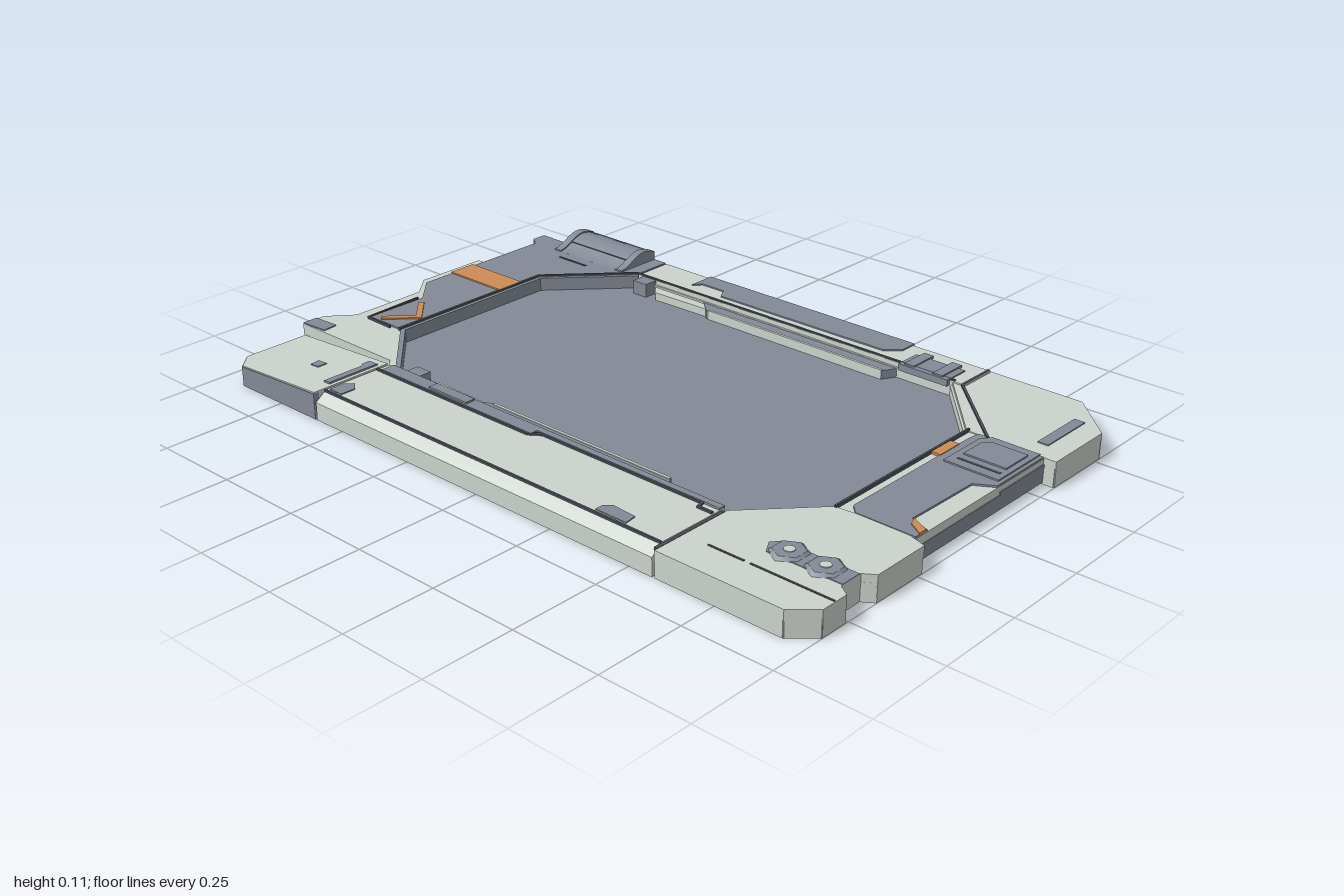
import * as THREE from 'three';

const material = (name, color) => {
  const m = new THREE.MeshStandardMaterial({ color });
  m.name = name;
  return m;
};

export function createModel() {
  const model = new THREE.Group();
  model.name = 'hatchFrame';
  const light = material('paleGrey', 0xcbd2cb);
  const dark = material('slateGrey', 0x838a96);
  const orange = material('orange', 0xcb8c54);
  const black = material('seamGrey', 0x4a4f58);

  const add = (name, geometry, mat) => {
    const mesh = new THREE.Mesh(geometry, mat);
    mesh.name = name;
    model.add(mesh);
    return mesh;
  };
  const flip = (pts) => pts.map(([x, z]) => new THREE.Vector2(x, -z));
  // Plan outline in x, z raised from y0 to y1
  const slab = (name, mat, pts, y0, y1, hole) => {
    const shape = new THREE.Shape(flip(pts));
    if (hole) shape.holes.push(new THREE.Path(flip(hole).reverse()));
    const g = new THREE.ExtrudeGeometry(shape, { depth: y1 - y0, bevelEnabled: false });
    g.rotateX(-Math.PI / 2).translate(0, y0, 0);
    return add(name, g, mat);
  };
  const box = (name, mat, x0, x1, y0, y1, z0, z1) =>
    add(name, new THREE.BoxGeometry(x1 - x0, y1 - y0, z1 - z0)
      .translate((x0 + x1) / 2, (y0 + y1) / 2, (z0 + z1) / 2), mat);
  // Thin wall or strip following a plan path
  const strip = (name, mat, pts, y0, y1, width) => {
    for (let i = 0; i < pts.length - 1; i++) {
      const [ax, az] = pts[i], [bx, bz] = pts[i + 1];
      const g = new THREE.BoxGeometry(Math.hypot(bx - ax, bz - az) + width * 0.6, y1 - y0, width);
      g.rotateY(-Math.atan2(bz - az, bx - ax));
      add(name, g.translate((ax + bx) / 2, (y0 + y1) / 2, (az + bz) / 2), mat);
    }
  };
  // Cross-section in z, y swept along x
  const sweepX = (name, mat, pts, x0, x1) => {
    const shape = new THREE.Shape(pts.map(([z, y]) => new THREE.Vector2(-z, y)));
    const g = new THREE.ExtrudeGeometry(shape, { depth: x1 - x0, bevelEnabled: false });
    return add(name, g.rotateY(Math.PI / 2).translate(x0, 0, 0), mat);
  };
  const TOP = 0.075, CORNER = 0.071;

  // Recessed octagonal panel and its rim
  const octagon = (d) => [
    [-0.76 - d, -0.31 - d / 2], [-0.56 - d / 2, -0.52 - d], [0.56 + d / 2, -0.52 - d], [0.745 + d, -0.31 - d / 2],
    [0.745 + d, 0.22 + d / 2], [0.57 + d / 2, 0.4 + d], [-0.57 - d / 2, 0.4 + d], [-0.76 - d, 0.22 + d / 2]];
  slab('centrePanel', dark, octagon(0), 0.008, 0.035);
  slab('panelRim', light, octagon(0.03), 0.002, 0.05, octagon(0));
  slab('panelInnerLip', light, octagon(0.001), 0.034, 0.062, octagon(-0.006));
  const o = octagon(0.004), inner = octagon(-0.004);
  strip('leftInnerWall', dark, [inner[6], inner[7], inner[0], inner[1]], 0.036, 0.074, 0.014);
  strip('leftSeam', black, [o[7], o[0], o[1]], 0.06, 0.079, 0.008);
  strip('backSeam', black, [o[1], o[2]], 0.06, 0.079, 0.007);
  strip('sideSeam', black, [o[3], o[4]], 0.06, 0.077, 0.006);

  // Mirrored trim strips along the panel's long edges
  for (const s of [-1, 1]) {
    const z = (d) => -0.06 + s * (0.46 - d);
    const order = (p) => (s < 0 ? p : p.slice().reverse());
    slab('edgeTrim', dark, order([[-0.3, z(0)], [0.39, z(0)], [0.365, z(0.045)], [-0.25, z(0.045)]]), 0.034, 0.06);
    slab('edgeTrimPale', light, order([[-0.48, z(0.008)], [-0.29, z(0.008)], [-0.26, z(0.035)], [-0.45, z(0.04)]]), 0.034, 0.058);
    box('trimLine', light, -0.24, 0.365, 0.034, 0.062, z(0.042) - 0.004, z(0.042) + 0.004);
    const zc = z(0.022);
    box('trimClip', dark, -0.535, -0.485, 0.034, 0.075, zc - 0.022, zc + 0.022);
  }

  // Back rail, hollow below, with worn patch on top and rear
  box('backRail', light, -0.553, 0.597, 0.042, TOP, -0.64, -0.52);
  box('backRailWall', light, -0.553, 0.597, 0, 0.045, -0.64, -0.627);
  slab('backRailPatch', dark, [[-0.38, -0.645], [0.35, -0.645], [0.35, -0.59], [0.31, -0.555], [-0.26, -0.55],
    [-0.28, -0.585], [-0.36, -0.585], [-0.38, -0.56]], TOP, 0.079);
  box('backRailRearPatch', dark, -0.38, 0.35, 0.002, 0.079, -0.645, -0.64);
  box('backLatch', dark, 0.395, 0.55, 0.06, 0.079, -0.59, -0.508);
  for (const x of [0.41, 0.5]) box('latchLug', dark, x, x + 0.03, 0.07, 0.083, -0.605, -0.515);

  // Hollow back corner on the left side
  const corner = [[0.59, -0.645], [0.87, -0.645], [1, -0.52], [1, -0.31], [0.745, -0.31], [0.56, -0.52], [0.59, -0.52]];
  slab('backCornerTop', light, corner, 0.05, CORNER);
  strip('backCornerWall', light, [[0.597, -0.638], [0.866, -0.638], [0.993, -0.517], [0.993, -0.317], [0.8, -0.317]], 0, 0.06, 0.013);
  strip('backCornerSeam', black, [[0.59, -0.64], [0.59, -0.52], [0.81, -0.305]], 0.066, 0.0765, 0.007);
  box('cornerWear', dark, 0.91, 0.94, CORNER, 0.074, -0.54, -0.37);

  // Left side block
  box('sideBase', dark, 0.78, 0.968, 0.005, 0.045, -0.31, 0.22);
  box('sideUpper', light, 0.745, 0.966, 0.035, 0.068, -0.31, 0.22);
  box('sideUpperShade', dark, 0.9, 0.969, 0.044, 0.054, -0.31, -0.12);
  slab('sideCover', dark, [[0.78, -0.31], [0.965, -0.31], [0.965, -0.11], [0.915, -0.08], [0.91, 0.15], [0.965, 0.17],
    [0.965, 0.215], [0.8, 0.215], [0.775, 0.19], [0.775, -0.27]], 0.066, 0.073);
  slab('sideHandle', dark, [[0.82, -0.31], [0.955, -0.31], [0.955, -0.13], [0.8, -0.13], [0.8, -0.28]], 0.06, 0.077);
  slab('sideHandlePad', dark, [[0.837, -0.28], [0.94, -0.28], [0.94, -0.185], [0.82, -0.185], [0.82, -0.26]], 0.07, 0.081);
  box('sideHandleLine', black, 0.82, 0.94, 0.07, 0.078, -0.165, -0.157);
  box('sideStripe', orange, 0.747, 0.778, 0.067, 0.075, -0.23, -0.15);
  slab('sideChip', orange, [[0.915, 0.15], [0.965, 0.175], [0.965, 0.2], [0.925, 0.175]], 0.069, 0.076);

  // Front corner on the left side, hollow below, with hexagonal bolts
  slab('frontCornerTop', light, [[0.745, 0.22], [0.8, 0.215], [0.95, 0.215], [1, 0.23], [1, 0.4], [0.97, 0.42], [0.97, 0.49], [1, 0.51],
    [1, 0.59], [0.94, 0.645], [0.577, 0.645], [0.577, 0.4]], 0.04, CORNER);
  strip('frontCornerWall', light, [[0.8, 0.222], [0.95, 0.222], [0.993, 0.236], [0.993, 0.397], [0.963, 0.417], [0.963, 0.493], [0.993, 0.513],
    [0.993, 0.587], [0.937, 0.638], [0.582, 0.638]], 0, 0.05, 0.013);
  box('underSlot', dark, 0.74, 0.95, 0.03, 0.042, 0.43, 0.485);
  slab('boltPlate', dark, [[0.74, 0.45], [0.76, 0.425], [0.97, 0.425], [0.97, 0.485], [0.76, 0.485]], CORNER, 0.073);
  for (const x of [0.8, 0.9]) {
    add('hexBolt', new THREE.CylinderGeometry(0.04, 0.05, 0.008, 6).toNonIndexed().translate(x, 0.075, 0.453), dark);
    add('boltCentre', new THREE.CylinderGeometry(0.014, 0.014, 0.004, 12).translate(x, 0.079, 0.453), light);
  }
  strip('frontCornerSeam', black, [[0.65, 0.548], [0.75, 0.548]], 0.07, 0.073, 0.005);
  strip('frontCornerSeam', black, [[0.77, 0.548], [0.996, 0.548]], 0.07, 0.073, 0.005);

  // Front rail with a bevelled outer edge and hollow underside
  sweepX('frontRail', light, [[0.4, 0.002], [0.43, 0.002], [0.43, 0.042], [0.632, 0.042], [0.632, 0], [0.645, 0],
    [0.645, 0.05], [0.62, 0.068], [0.61, TOP], [0.4, TOP]], -0.6, 0.57);
  box('frontRailInset', dark, -0.58, -0.02, TOP, 0.081, 0.4, 0.44);
  box('frontRailInset', dark, -0.02, 0.57, TOP, 0.081, 0.4, 0.418);
  box('frontRailClip', dark, -0.4, -0.26, TOP, 0.086, 0.405, 0.435);
  strip('frontRailSeam', black, [[-0.595, 0.442], [-0.03, 0.442], [0, 0.42], [0.52, 0.42], [0.525, 0.44], [0.565, 0.44]], TOP, 0.08, 0.007);
  strip('frontRailEdgeSeam', black, [[-0.597, 0.613], [0.567, 0.613]], 0.071, 0.077, 0.006);
  box('railEndGap', black, 0.568, 0.578, 0.045, 0.072, 0.41, 0.635);
  slab('frontRailWear', dark, [[-0.59, 0.56], [-0.57, 0.54], [-0.545, 0.56], [-0.545, 0.605], [-0.59, 0.605]], TOP, 0.078);
  slab('frontRailWear', dark, [[0.36, 0.58], [0.38, 0.565], [0.45, 0.57], [0.455, 0.605], [0.36, 0.605]], TOP, 0.078);

  // Front corner on the right side, sloping down outwards, dark along its front
  const tail = [[-0.957, 0.4], [-0.605, 0.4], [-0.605, 0.645], [-0.91, 0.645], [-0.957, 0.595]];
  for (const mesh of [
    slab('slopedCornerBody', light, tail, 0, 0.077),
    slab('slopedCornerFront', dark, [[-0.605, 0.63], [-0.605, 0.647], [-0.911, 0.647], [-0.959, 0.596], [-0.955, 0.585], [-0.9, 0.63]], 0.001, 0.073),
    slab('slopedCornerChip', dark, [[-0.77, 0.5], [-0.735, 0.5], [-0.735, 0.53], [-0.765, 0.53]], 0.077, 0.08),
    slab('slopedCornerBlock', dark, [[-0.65, 0.425], [-0.617, 0.425], [-0.617, 0.585], [-0.64, 0.585], [-0.64, 0.46], [-0.65, 0.45]], 0.077, 0.082)]) {
    const p = mesh.geometry.attributes.position;
    for (let i = 0; i < p.count; i++) p.setY(i, p.getY(i) * (1 + 0.75 * (p.getX(i) + 0.605)));
    mesh.geometry.computeVertexNormals();
  }

  // Right side: thin dark deck, pale border and rear wall
  slab('rightDeck', dark, [[-0.912, -0.645], [-0.56, -0.645], [-0.56, -0.52], [-0.76, -0.31], [-0.76, 0.22], [-0.89, 0.22],
    [-0.89, 0.03], [-0.97, -0.055], [-0.97, -0.5], [-1, -0.52], [-1, -0.565], [-0.912, -0.565]], 0.042, TOP);
  slab('rightBorder', light, [[-0.97, -0.055], [-0.89, 0.03], [-0.89, 0.22], [-0.76, 0.22], [-0.575, 0.4], [-0.6, 0.4], [-0.63, 0.372],
    [-1, 0.372], [-1, 0.3], [-0.94, 0.23], [-0.94, 0], [-1, -0.07], [-1, -0.29], [-0.97, -0.29]], 0.038, 0.07);
  strip('rightWall', dark, [[-0.565, -0.64], [-0.905, -0.64], [-0.905, -0.5]], 0, 0.06, 0.01);
  slab('rightBorderWear', dark, [[-1, 0.325], [-0.92, 0.32], [-0.915, 0.365], [-1, 0.372]], 0.07, 0.073);
  strip('rightBorderSeam', black, [[-0.9, 0.04], [-0.893, 0.225], [-0.8, 0.228]], 0.07, 0.077, 0.006);
  box('rightTrayLine', black, -0.83, -0.72, TOP, 0.077, -0.468, -0.462);
  strip('rightTrayLine', black, [[-0.73, -0.35], [-0.65, -0.43]], TOP, 0.077, 0.006);

  // Orange markings, also seen through the open underside
  box('orangeStripe', orange, -0.972, -0.767, TOP, 0.079, -0.24, -0.155);
  box('orangeStripeUnder', orange, -0.968, -0.79, 0.038, 0.042, -0.24, -0.155);
  strip('orangeChevron', orange, [[-0.855, 0.065], [-0.785, 0.135], [-0.855, 0.205]], TOP, 0.079, 0.017);

  // Smooth hinge hump between two collars
  const hump = (d) => {
    const pts = [[-0.645, 0.04]];
    for (let i = 0; i <= 14; i++) {
      const z = -0.645 + 0.145 * i / 14;
      const spread = z < -0.597 ? 0.12 : 0.1;
      pts.push([z, TOP + d + 0.033 * Math.cos(Math.min(1, Math.abs(z + 0.597) / spread) * Math.PI / 2) ** 2]);
    }
    return pts.concat([[-0.5, 0.04]]);
  };
  sweepX('hingeCover', dark, hump(0), -0.87, -0.62);
  for (const x of [-0.885, -0.63]) sweepX('hingeCollar', dark, hump(0.004), x, x + 0.025);
  for (const z of [-0.552, -0.632]) box('hingeSeam', black, -0.86, -0.63, 0.08, z < -0.6 ? 0.103 : 0.094, z - 0.004, z + 0.004);

  return model;
}
